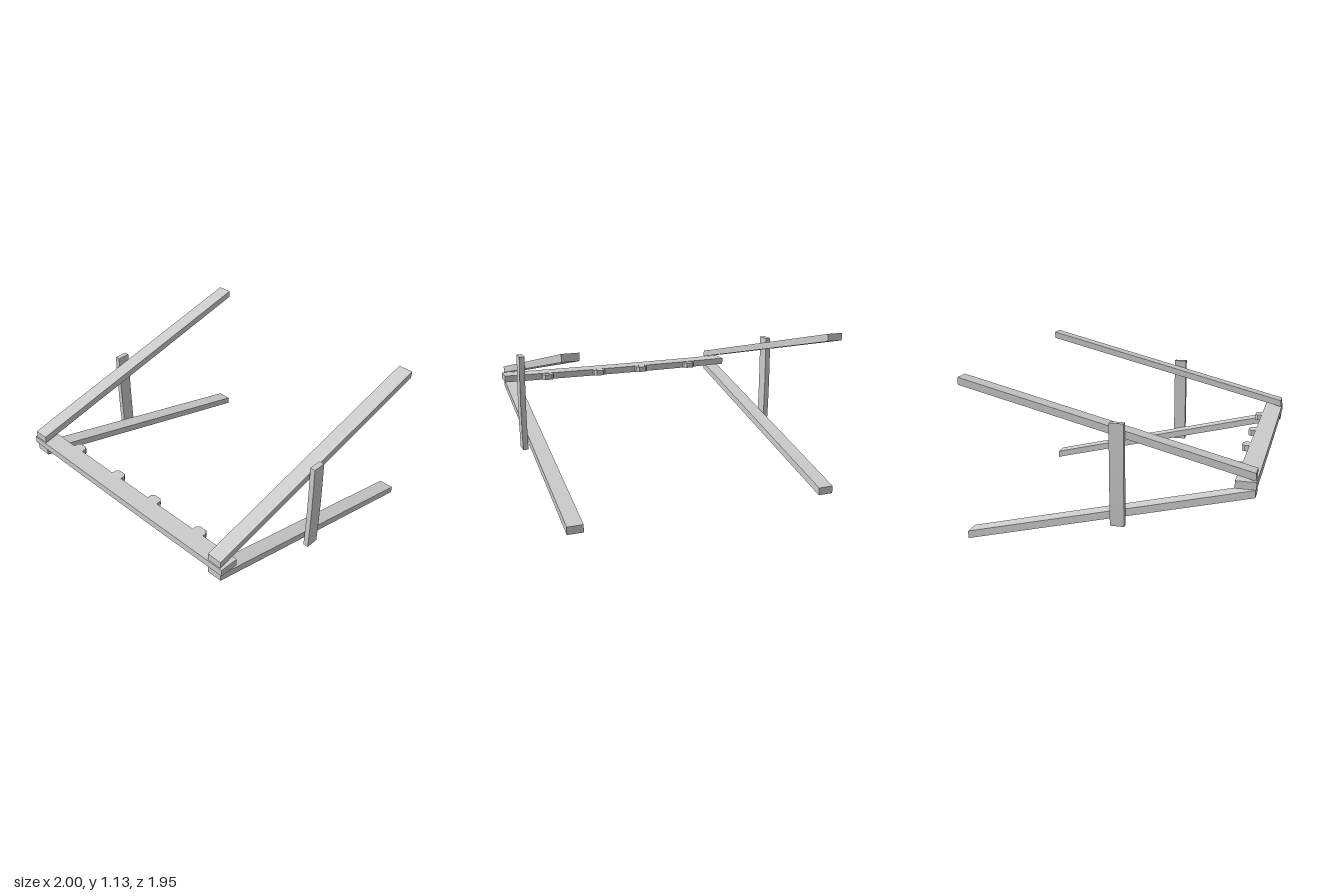
import * as THREE from 'three';

const material = new THREE.MeshStandardMaterial({ color: 0xcccccc, flatShading: true });

function polygon(points) {
  return new THREE.Shape(points.map(([x, y]) => new THREE.Vector2(x, y)));
}

function extrude(points, depth) {
  const geometry = new THREE.ExtrudeGeometry(polygon(points), { depth, bevelEnabled: false });
  return geometry.translate(0, 0, -depth / 2);
}

function addPart(group, name, geometry, x = 0, y = 0, z = 0) {
  const mesh = new THREE.Mesh(geometry, material);
  mesh.name = name;
  mesh.position.set(x, y, z);
  group.add(mesh);
}

// Box bent by a small parabola: shifts axis "to" according to the position along axis "along"
function bentBox(size, segments, along, to, amount) {
  const geometry = new THREE.BoxGeometry(...size, ...segments);
  const p = geometry.attributes.position;
  const v = new THREE.Vector3();
  const half = size['xyz'.indexOf(along)] / 2;
  for (let i = 0; i < p.count; i++) {
    v.fromBufferAttribute(p, i);
    v[to] += amount * (1 - (v[along] / half) ** 2);
    p.setXYZ(i, v.x, v.y, v.z);
  }
  geometry.computeVertexNormals();
  return geometry;
}

export function createModel() {
  const group = new THREE.Group();
  group.name = 'frame';

  // Side profiles of the sloping rails as (z, y), with upright cut ends
  const upper = [[-0.975, 1.08], [0.965, 0.597], [0.965, 0.647], [-0.975, 1.13]];
  const lower = [[-0.975, 0], [0.965, 0.488], [0.965, 0.538], [-0.975, 0.053]];

  for (const [side, s] of [['left', 1], ['right', -1]]) {
    addPart(group, side + 'UpperRail', extrude(upper, 0.108).rotateY(-Math.PI / 2), s * 0.895);
    addPart(group, side + 'LowerRail', extrude(lower, 0.108).rotateY(-Math.PI / 2), s * 0.895);
    // Upright on the outside of the rails, very slightly bowed outwards
    addPart(group, side + 'Upright', bentBox([0.038, 0.685, 0.095], [1, 4, 1], 'y', 'x', s * 0.005),
      s * 0.975, 0.568, 0.1);
  }

  // Front crossbar, sagging a little in the middle
  addPart(group, 'crossbar', bentBox([1.93, 0.051, 0.133], [8, 1, 1], 'x', 'y', -0.006), 0, 0.57, 0.905);

  // Chamfered pegs on the back edge of the crossbar, outline as (x, -z)
  const peg = [[-0.046, -0.86], [0.046, -0.86], [0.046, -0.807], [0.028, -0.787], [-0.028, -0.787], [-0.046, -0.807]];
  for (const x of [-0.628, -0.19, 0.183, 0.62]) {
    addPart(group, 'peg', extrude(peg, 0.042).rotateX(-Math.PI / 2), x, 0.568);
  }
  return group;
}
